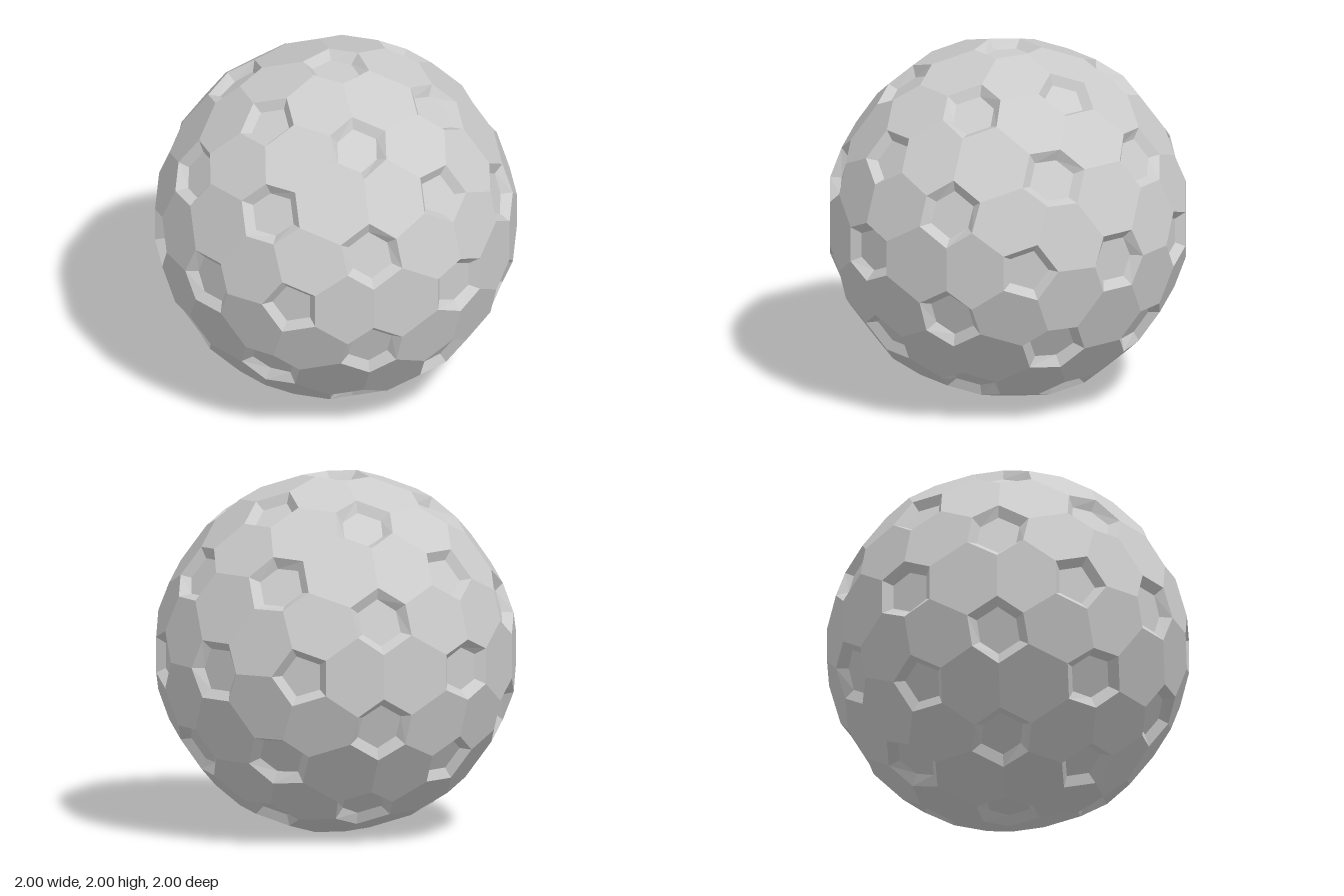
import * as THREE from 'three';

const CUT = 0.308;    // how far along each edge the corners are cut off
const INSET = 0.7;    // dimple floor size relative to its rim
const DEPTH = 0.045;  // dimple depth

// Adds a flat convex polygon as a triangle fan
function addPolygon(out, pts) {
  for (let i = 1; i < pts.length - 1; i++) {
    for (const p of [pts[0], pts[i], pts[i + 1]]) out.push(p.x, p.y, p.z);
  }
}

function makeMesh(name, positions) {
  const geometry = new THREE.BufferGeometry();
  geometry.setAttribute('position', new THREE.Float32BufferAttribute(positions, 3));
  geometry.computeVertexNormals();
  const mesh = new THREE.Mesh(
    geometry, new THREE.MeshStandardMaterial({ color: 0xcccccc, flatShading: true }));
  mesh.name = name;
  return mesh;
}

// Orders the rim points counter-clockwise around the outward normal
function sortAround(points, normal) {
  const u = points[0].clone().projectOnPlane(normal).normalize();
  const v = normal.clone().cross(u);
  const angle = (p) => Math.atan2(p.dot(v), p.dot(u));
  return points.sort((a, b) => angle(a) - angle(b));
}

export function createModel() {
  const base = new THREE.IcosahedronGeometry(1, 1).attributes.position;
  const size = 1 / (1 - CUT * (1 - Math.cos(Math.atan(2) / 2)));
  const panels = [], walls = [], floors = [];
  const corners = new Map();
  const key = (p) => p.toArray().map((c) => Math.round(c * 1000) + 0).join();

  // Large hexagonal panels: each triangle with its corners cut off
  for (let i = 0; i < base.count; i += 3) {
    const tri = [0, 1, 2].map((k) => new THREE.Vector3().fromBufferAttribute(base, i + k));
    const hexagon = [];
    tri.forEach((a, k) => {
      const b = tri[(k + 1) % 3];
      const near = a.clone().lerp(b, CUT).multiplyScalar(size);
      const far = b.clone().lerp(a, CUT).multiplyScalar(size);
      hexagon.push(near, far);
      // every directed edge contributes one rim point to its starting corner
      if (!corners.has(key(a))) corners.set(key(a), { normal: a.clone().normalize(), rim: [] });
      corners.get(key(a)).rim.push(near.clone());
    });
    addPolygon(panels, hexagon);
  }

  // Sunken pentagons and hexagons where the corners were cut off
  for (const { normal, rim } of corners.values()) {
    sortAround(rim, normal);
    const centre = new THREE.Vector3();
    rim.forEach((p) => centre.addScaledVector(p, 1 / rim.length));
    const floorCentre = centre.clone().addScaledVector(normal, -DEPTH);
    const floor = rim.map((p) => p.clone().sub(centre).projectOnPlane(normal)
      .multiplyScalar(INSET).add(floorCentre));
    addPolygon(floors, floor);
    rim.forEach((p, k) => {
      const n = (k + 1) % rim.length;
      addPolygon(walls, [p, rim[n], floor[n], floor[k]]);
    });
  }

  const ball = new THREE.Group();
  ball.name = 'dimpledBall';
  ball.add(makeMesh('panels', panels), makeMesh('dimpleWalls', walls), makeMesh('dimpleFloors', floors));
  ball.position.y = 1;
  const model = new THREE.Group();
  model.add(ball);
  return model;
}
